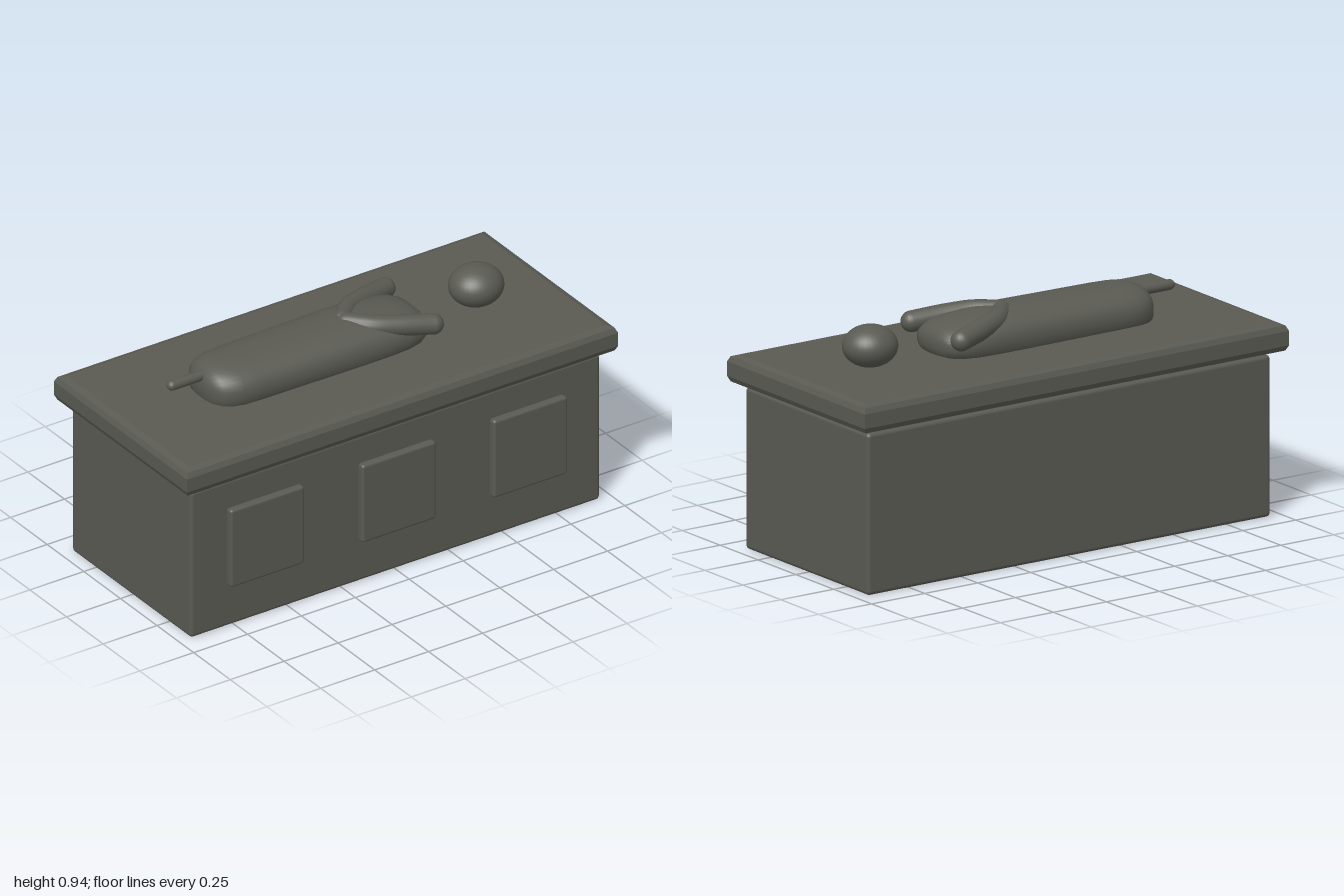
import * as THREE from 'three';
import { RoundedBoxGeometry } from 'three/addons/geometries/RoundedBoxGeometry.js';

const stone = new THREE.MeshStandardMaterial({ color: 0x5a5a53 });
stone.name = 'dark stone';

function add(parent, name, geometry, x = 0, y = 0, z = 0) {
  const mesh = new THREE.Mesh(geometry, stone);
  mesh.name = name;
  mesh.position.set(x, y, z);
  parent.add(mesh);
  return mesh;
}

// Closed body lofted along x from [x, half width, half height] stations
function loft(stations, centreY, sides = 32, power = 2.3) {
  const pos = [], index = [];
  const pow = (v) => Math.sign(v) * Math.abs(v) ** (2 / power);
  for (const [x, w, h] of stations) {
    for (let i = 0; i < sides; i++) {
      const a = (i / sides) * Math.PI * 2;
      pos.push(x, centreY + h * pow(Math.sin(a)), w * pow(Math.cos(a)));
    }
  }
  for (let s = 0; s < stations.length - 1; s++) {
    for (let i = 0; i < sides; i++) {
      const a = s * sides + i, b = s * sides + ((i + 1) % sides);
      index.push(a, a + sides, b, b, a + sides, b + sides);
    }
  }
  const g = new THREE.BufferGeometry();
  g.setAttribute('position', new THREE.Float32BufferAttribute(pos, 3));
  g.setIndex(index);
  g.computeVertexNormals();
  return g;
}

// Chest, lid and the three raised front panels
function buildTomb() {
  const tomb = new THREE.Group();
  tomb.name = 'tomb';
  add(tomb, 'chest', new RoundedBoxGeometry(1.9, 0.646, 0.814, 3, 0.016), 0, 0.328, 0);

  const w = 0.965, d = 0.42, r = 0.035;
  const outline = new THREE.Shape([
    new THREE.Vector2(-w, -d), new THREE.Vector2(w, -d),
    new THREE.Vector2(w, d), new THREE.Vector2(-w, d),
  ]);
  const lid = new THREE.ExtrudeGeometry(outline, {
    depth: 0.118 - 0.06, bevelEnabled: true, bevelThickness: 0.03, bevelSize: r, bevelSegments: 2,
  });
  lid.rotateX(-Math.PI / 2);
  add(tomb, 'lid', lid, 0, 0.692, 0);

  for (const x of [-0.61, 0, 0.61]) {
    add(tomb, 'frontPanel', new RoundedBoxGeometry(0.343, 0.343, 0.06, 3, 0.012), x, 0.357, 0.404);
  }
  return tomb;
}

// Reclining figure with folded arms
function buildFigure() {
  const figure = new THREE.Group();
  figure.name = 'recliningFigure';
  add(figure, 'body', loft([
    [-0.632, 0.001, 0.001], [-0.632, 0.05, 0.035], [-0.622, 0.09, 0.062], [-0.6, 0.122, 0.082],
    [-0.565, 0.144, 0.094], [-0.52, 0.156, 0.098], [-0.45, 0.16, 0.1], [-0.2, 0.163, 0.103],
    [0.02, 0.166, 0.106], [0.15, 0.166, 0.1], [0.24, 0.162, 0.09], [0.3, 0.15, 0.078],
    [0.34, 0.125, 0.06], [0.358, 0.09, 0.04], [0.364, 0.04, 0.02], [0.365, 0.001, 0.001],
  ], 0.82), 0, 0, 0);

  add(figure, 'head', new THREE.SphereGeometry(1, 32, 20), 0.65, 0.861, 0).scale.set(0.111, 0.083, 0.104);

  const foot = new THREE.CapsuleGeometry(0.021, 0.2, 6, 16);
  foot.rotateZ(Math.PI / 2);
  add(figure, 'footBar', foot, -0.658, 0.87, -0.004);

  // Arms meet over the chest and spread toward the shoulders
  for (const side of [-1, 1]) {
    const path = new THREE.CatmullRomCurve3([
      new THREE.Vector3(0.04, 0.896, side * 0.012),
      new THREE.Vector3(0.11, 0.893, side * 0.078),
      new THREE.Vector3(0.2, 0.884, side * 0.12),
      new THREE.Vector3(0.338, 0.867, side * 0.165),
    ]);
    const arm = new THREE.Group();
    arm.name = side > 0 ? 'frontArm' : 'backArm';
    add(arm, 'sleeve', new THREE.TubeGeometry(path, 24, 0.042, 18));
    for (const t of [0, 1]) {
      const p = path.getPoint(t);
      add(arm, t ? 'shoulder' : 'hand', new THREE.SphereGeometry(0.042, 18, 14), p.x, p.y, p.z);
    }
    figure.add(arm);
  }
  return figure;
}

export function createModel() {
  const model = new THREE.Group();
  model.name = 'effigyTomb';
  model.add(buildTomb(), buildFigure());
  return model;
}
